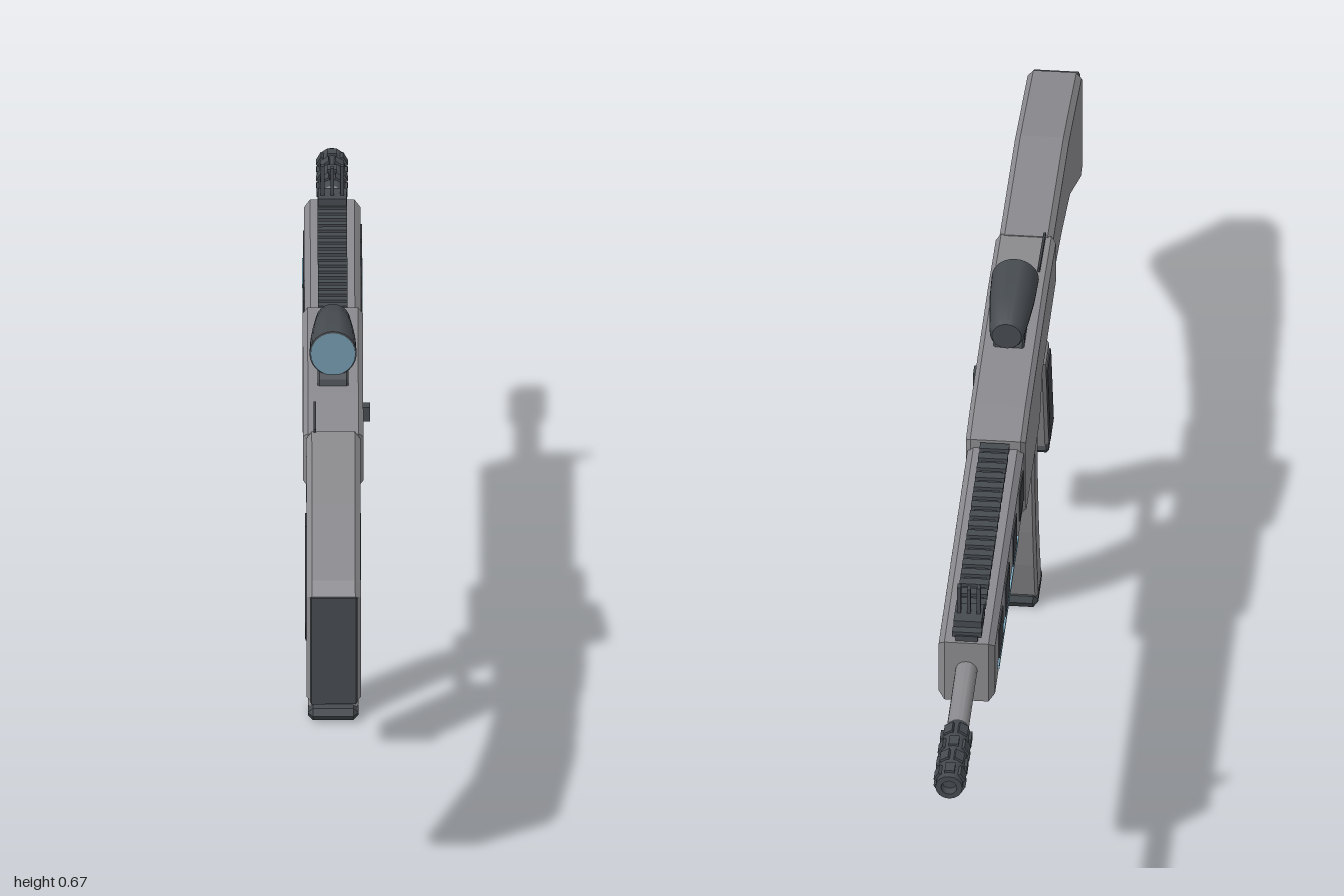
import * as THREE from 'three';
import { toCreasedNormals } from 'three/addons/utils/BufferGeometryUtils.js';

const CX = -0.006; // centre plane of the body

const mat = (name, color) => {
  const m = new THREE.MeshStandardMaterial({ color });
  m.name = name;
  return m;
};

export function createModel() {
  const root = new THREE.Group();
  root.name = 'rifle';
  const grey = mat('body grey', 0x8b8b8f);
  const dark = mat('dark metal', 0x464b50);
  const black = mat('panel black', 0x3b3e43);
  const glass = mat('lens blue', 0x7299ac);
  const light = mat('strip light blue', 0x86b6cf);

  const add = (name, geo, material, parent = root) => {
    const m = new THREE.Mesh(geo, material);
    m.name = name;
    parent.add(m);
    return m;
  };
  const group = (name) => {
    const g = new THREE.Group();
    g.name = name;
    root.add(g);
    return g;
  };
  // Side outline in [z, y], extruded across x with chamfered edges
  const slab = (name, pts, width, bevel, material, x = CX, parent = root) => {
    const shape = new THREE.Shape(pts.map(([z, y]) => new THREE.Vector2(z, y)));
    const geo = new THREE.ExtrudeGeometry(shape, {
      depth: width - 2 * bevel, bevelEnabled: bevel > 0, bevelThickness: bevel,
      bevelSize: bevel, bevelOffset: -bevel, bevelSegments: 1,
    });
    geo.rotateY(-Math.PI / 2);
    geo.translate(x + width / 2 - bevel, 0, 0);
    return add(name, geo, material, parent);
  };
  const box = (name, x, y, z, w, h, d, material, parent = root) => {
    const m = add(name, new THREE.BoxGeometry(w, h, d), material, parent);
    m.position.set(x, y, z);
    return m;
  };
  // Turned part along z, profile in [radius, z] with z rising
  const turned = (name, pts, y, sides, material, parent = root) => {
    const geo = new THREE.LatheGeometry(pts.map(([r, z]) => new THREE.Vector2(r, z)), sides);
    geo.rotateX(Math.PI / 2);
    const m = add(name, toCreasedNormals(geo, 0.6), material, parent);
    m.position.set(CX, y, 0);
    return m;
  };

  // Stock and butt pad
  slab('stock', [[0.435, 0.475], [0.6, 0.45], [0.75, 0.415], [0.96, 0.3], [0.993, 0.305],
    [0.993, 0.49], [0.97, 0.51], [0.73, 0.553], [0.435, 0.567]], 0.088, 0.009, grey);
  slab('buttPad', [[0.985, 0.306], [1, 0.306], [1, 0.49], [0.985, 0.49]], 0.078, 0.003, dark);

  // Receiver
  slab('receiver', [[-0.135, 0.43], [-0.115, 0.41], [0.14, 0.41], [0.182, 0.473], [0.44, 0.473],
    [0.44, 0.565], [0.28, 0.576], [-0.05, 0.576], [-0.135, 0.568]], 0.098, 0.008, grey);
  box('receiverButton', 0.047, 0.492, 0.145, 0.014, 0.024, 0.024, dark);
  const plate = box('topSeam', CX - 0.03, 0.572, 0.385, 0.004, 0.008, 0.11, black);
  plate.rotation.x = 0.07;

  // Handguard
  slab('handguard', [[-0.12, 0.437], [-0.675, 0.437], [-0.675, 0.552], [-0.12, 0.552]].reverse(),
    0.092, 0.01, grey);
  const vents = group('handguardVents');
  const sideVents = {
    1: [[-0.16, -0.225], [-0.28, -0.35], [-0.385, -0.47], [-0.48, -0.545], [-0.56, -0.63]],
    [-1]: [[-0.155, -0.22], [-0.275, -0.345], [-0.41, -0.485], [-0.53, -0.6]],
  };
  for (const s of [1, -1]) {
    const x = CX + s * 0.046;
    for (const [a, b] of sideVents[s])
      box('vent', x, 0.498, (a + b) / 2, 0.004, 0.056, a - b, black, vents);
    box('stripLight', x, 0.467, -0.44, 0.006, 0.007, 0.36, light, vents);
  }

  // Top rail with teeth
  const rail = group('rail');
  box('railBase', CX, 0.556, -0.405, 0.036, 0.012, 0.53, dark, rail);
  for (let i = 0; i < 20; i++)
    box('railTooth', CX, 0.563, -0.15 - i * 0.0268, 0.048, 0.01, 0.016, dark, rail);

  // Front sight: foot, post and two ears
  const sight = group('frontSight');
  box('sightFoot', CX, 0.573, -0.628, 0.046, 0.014, 0.05, dark, sight);
  for (const s of [-1, 0, 1])
    box('sightProng', CX + s * 0.016, 0.602, -0.625, 0.006, s ? 0.056 : 0.05, 0.012, dark, sight);

  // Barrel and ribbed muzzle brake
  turned('barrel', [[0.018, -0.85], [0.018, -0.66]], 0.497, 16, grey);
  const muzzle = group('muzzleBrake');
  turned('muzzleCore', [[0, -0.985], [0.012, -0.985], [0.013, -1], [0.022, -1], [0.0225, -0.85],
    [0.018, -0.835], [0, -0.835]], 0.497, 16, dark, muzzle);
  for (let ring = 0; ring < 4; ring++) {
    for (let i = 0; i < 6; i++) {
      const a = (i + ring * 0.5) * Math.PI / 3;
      const rib = box('muzzleRib', CX + Math.cos(a) * 0.021, 0.497 + Math.sin(a) * 0.021,
        -0.865 - ring * 0.037, 0.009, 0.016, 0.024, dark, muzzle);
      rib.rotation.z = a;
    }
  }

  // Scope on its mount, lens facing the rear
  const scope = group('scope');
  slab('scopeMount', [[0.11, 0.57], [0.25, 0.57], [0.245, 0.586], [0.23, 0.598], [0.12, 0.598]],
    0.05, 0.003, dark, CX, scope);
  turned('scopeTube', [[0, 0.073], [0.024, 0.073], [0.028, 0.08], [0.034, 0.14], [0.037, 0.18],
    [0.0385, 0.235], [0.036, 0.236], [0, 0.234]], 0.627, 24, dark, scope);
  const lens = add('lens', new THREE.CircleGeometry(0.0365, 24), glass, scope);
  lens.position.set(CX, 0.627, 0.238);

  // Pistol grip with dark side panels and foot
  const grip = group('grip');
  slab('gripBody', [[0.365, 0.195], [0.44, 0.195], [0.378, 0.405], [0.305, 0.405]],
    0.086, 0.006, grey, CX, grip);
  for (const s of [-1, 1])
    slab('gripPanel', [[0.372, 0.203], [0.434, 0.203], [0.382, 0.382], [0.32, 0.382]],
      0.005, 0, black, CX + s * 0.043, grip);
  slab('gripFoot', [[0.362, 0.19], [0.37, 0.181], [0.447, 0.181], [0.455, 0.19], [0.45, 0.203], [0.366, 0.203]],
    0.086, 0.004, dark, CX, grip);
  box('gripPin', CX + 0.03, 0.29, 0.352, 0.004, 0.11, 0.004, black, grip);

  // Trigger and guard bar
  const trigger = box('trigger', CX, 0.385, 0.213, 0.014, 0.06, 0.012, dark);
  trigger.rotation.x = -0.3;
  box('guardBar', CX, 0.327, 0.24, 0.022, 0.01, 0.14, grey);

  // Magazine well and curved magazine
  slab('magazineWell', [[0.07, 0.37], [0.18, 0.37], [0.19, 0.385], [0.19, 0.412], [0.07, 0.412]],
    0.088, 0.006, grey);
  const rear = [[0.255, 0.018], [0.227, 0.1], [0.206, 0.18], [0.19, 0.27], [0.183, 0.375]];
  const front = [[0.127, 0.375], [0.13, 0.28], [0.148, 0.18], [0.167, 0.1], [0.192, 0.018]];
  slab('magazine', [...rear, ...front], 0.082, 0.005, grey);
  slab('magazineFoot', [[0.19, 0], [0.262, 0], [0.277, 0.012], [0.272, 0.024], [0.186, 0.024], [0.183, 0.012]],
    0.082, 0.008, dark);
  for (const [z, y] of [[0.16, 0.28], [0.178, 0.2], [0.2, 0.14]])
    box('magazineHole', CX + 0.041, y, z, 0.003, 0.008, 0.008, black);

  return root;
}
